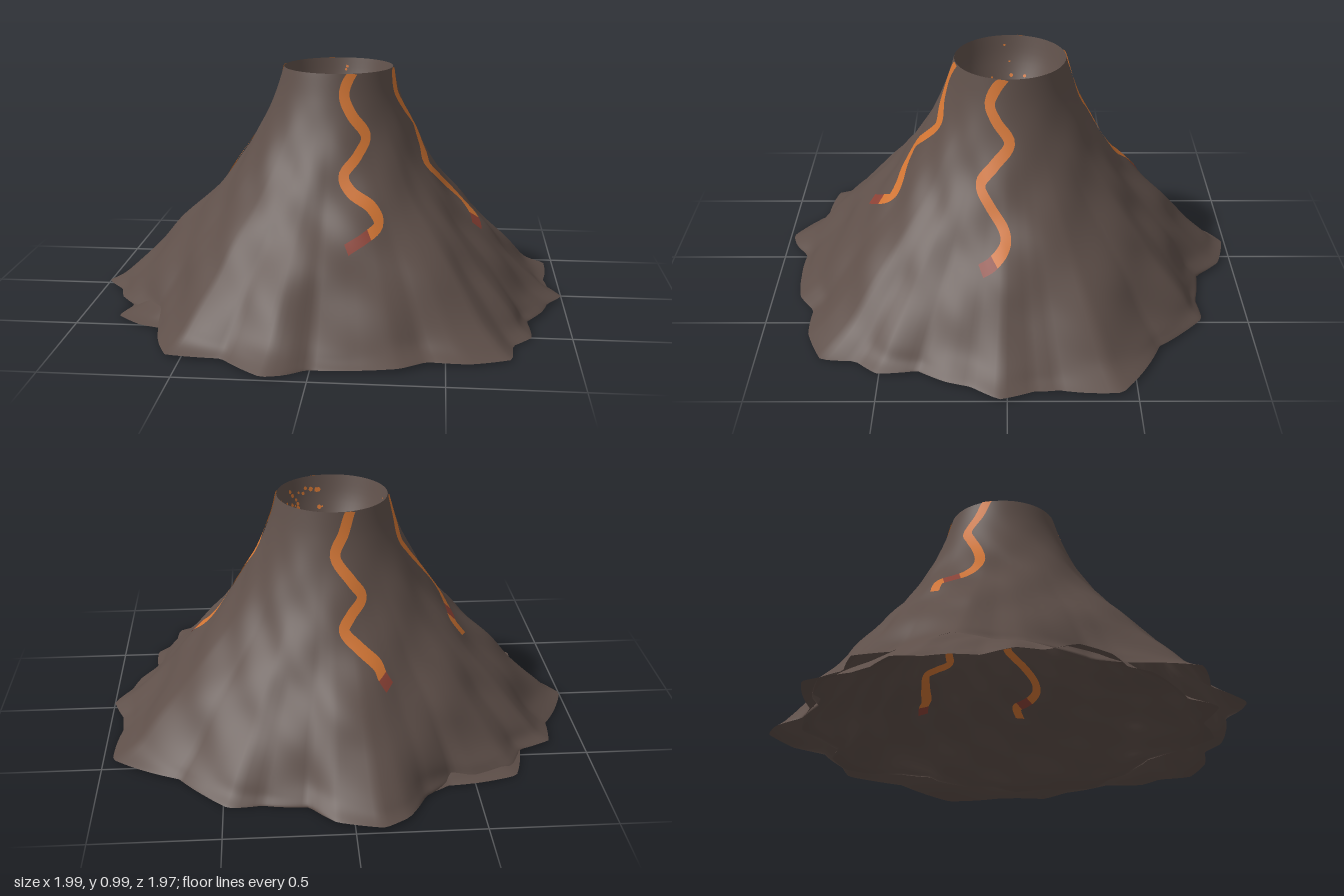
import * as THREE from 'three';

const V2 = (x, y) => new THREE.Vector2(x, y);

// foot of the mountain as x, z pairs
const foot = [
  1, .03, .95, -.1, .94, -.2, .96, -.44, .84, -.53, .68, -.61, .57, -.73, .48, -.81, .35, -.8,
  .17, -.83, .07, -.94, -.11, -.985, -.21, -.92, -.29, -.78, -.41, -.67, -.5, -.67, -.67, -.59,
  -.72, -.48, -.86, -.41, -.88, -.26, -.93, -.18, -1, -.01, -.91, .11, -.88, .21, -.8, .31,
  -.69, .43, -.65, .54, -.56, .82, -.34, .845, -.26, .92, -.17, .985, -.09, .96, -.01, .9,
  .17, .9, .33, .88, .43, .81, .59, .81, .75, .74, .76, .6, .84, .51, .83, .35, .9, .24, .93, .14,
];
const polar = [];
for (let i = 0; i < foot.length; i += 2) {
  polar.push([Math.atan2(foot[i + 1], foot[i]), Math.hypot(foot[i], foot[i + 1])]);
}
polar.sort((a, b) => a[0] - b[0]);
const TAU = Math.PI * 2;
polar.unshift([polar[polar.length - 1][0] - TAU, polar[polar.length - 1][1]]);
polar.push([polar[1][0] + TAU, polar[1][1]]);

function footRadius(angle) {
  const a = Math.atan2(Math.sin(angle), Math.cos(angle));
  let k = 1;
  while (k < polar.length - 1 && polar[k][0] < a) k++;
  const [a0, r0] = polar[k - 1], [a1, r1] = polar[k];
  return r0 + (r1 - r0) * (a - a0) / (a1 - a0);
}

// slope profile: radius and height, one tenth of height per step down to 0.1
const slope = new THREE.SplineCurve([
  [.23, 1], [.26, .9], [.3, .8], [.352, .7], [.413, .6], [.487, .5],
  [.575, .4], [.67, .3], [.76, .2], [.85, .1], [.91, .045], [.96, .014],
].map(([r, y]) => V2(r, y)));
const STEPS = 11;

// point on the mountainside: angle, and t from rim (0) to foot (1)
function surface(a, t) {
  const p = slope.getPoint(Math.min(1, Math.max(0, t)));
  const w = Math.pow(t, 2.5);
  const bumps = t * Math.sin(t * Math.PI) * (
    .014 * Math.sin(5 * a + 6 * t) + .01 * Math.sin(8 * a - 20 * t + 1)
    + .008 * Math.sin(12 * a + 30 * t + 2));
  const r = p.x * (1 + w * (footRadius(a) / .96 - 1)) + bumps;
  const y = p.y + .005 * w * Math.sin(7 * a);
  return new THREE.Vector3(.03 * (1 - t) + r * Math.cos(a), Math.max(0, y), -.014 * (1 - t) + r * Math.sin(a));
}

function surfaceNormal(a, t) {
  const e = .01, u = Math.max(e, t);
  const da = surface(a + e, u).sub(surface(a - e, u));
  const dt = surface(a, u + e).sub(surface(a, u - e));
  return da.cross(dt).normalize();
}

// grid of points (rows x columns) turned into a smooth surface
function gridGeometry(rows, closed) {
  const n = rows[0].length, index = [];
  for (let i = 0; i < rows.length - 1; i++) {
    for (let j = 0; j < (closed ? n : n - 1); j++) {
      const k = (j + 1) % n;
      const a = i * n + j, b = i * n + k, c = a + n, d = b + n;
      index.push(a, b, c, b, d, c);
    }
  }
  const g = new THREE.BufferGeometry().setFromPoints(rows.flat());
  g.setIndex(index);
  g.computeVertexNormals();
  return g;
}

// rows of a lava ribbon following the slope; points are sideways offset and height
function ribbon(direction, sign, points, from, to, lift) {
  const path = new THREE.SplineCurve(points.map(([u, y]) => V2(u * sign, y)));
  const rows = [], n = 50;
  for (let i = 0; i <= n; i++) {
    const s = from + (to - from) * i / n;
    const p = path.getPoint(s), d = path.getTangent(s);
    rows.push([-1, 0, 1].map((side) => {
      const u = p.x - d.y * side * .021, y = Math.min(.998, p.y + d.x * side * .021);
      const t = (1 - y) * 10 / STEPS;
      const a = direction + u / slope.getPoint(t).x;
      return surface(a, t).addScaledVector(surfaceNormal(a, t), lift);
    }));
  }
  return rows;
}

// the lower shell inside the hollow mountain, mirrored and turned
const UP = new THREE.Vector3(0, 1, 0);
const innerPoint = (p) => new THREE.Vector3(-.89 * p.x, .59 * p.y, .89 * p.z).applyAxisAngle(UP, -.34);
const innerRows = (rows) => rows.map((row) => row.map(innerPoint));

export function createModel() {
  const group = new THREE.Group();
  const material = (name, color) => {
    const m = new THREE.MeshStandardMaterial({ color, side: THREE.DoubleSide });
    m.name = name;
    return m;
  };
  const rock = material('rock', 0x5e4f49);
  const lava = material('lava', 0xd07433);
  const cooling = material('coolingLava', 0x8c4236);
  const add = (name, geometry, mat) => {
    const mesh = new THREE.Mesh(geometry, mat);
    mesh.name = name;
    group.add(mesh);
    return mesh;
  };

  // hollow mountainside and inner shell
  const rows = [], ROWS = 66, COLS = 240;
  for (let i = 0; i <= ROWS; i++) {
    rows.push(Array.from({ length: COLS }, (_, j) => surface(j / COLS * TAU, i / ROWS)));
  }
  add('mountainside', gridGeometry(rows, true), rock);
  add('innerShell', gridGeometry(innerRows(rows), true), rock);

  // crater bowl
  const bowl = new THREE.SplineCurve(
    [[0, .74], [.06, .74], [.105, .75], [.155, .82], [.202, .91], [.23, 1]].map(([r, y]) => V2(r, y)));
  const crater = add('crater', new THREE.LatheGeometry(bowl.getPoints(20), 64), rock);
  crater.position.set(.03, 0, -.014);

  // glowing flecks lying on the bowl, densest towards the front left
  let seed = 7;
  const random = () => (seed = (seed * 16807) % 2147483647) / 2147483647;
  for (let i = 0; i < 64; i++) {
    const s = .35 + .58 * random();
    const a = i % 2 ? random() * TAU : .1 + 1.4 * random();
    const p = bowl.getPoint(s), d = bowl.getTangent(s);
    const normal = new THREE.Vector3(-d.y * Math.cos(a), d.x, -d.y * Math.sin(a));
    const fleck = add('craterFleck', new THREE.CircleGeometry(.004 + .007 * random(), 6), lava);
    fleck.position.set(.03 + p.x * Math.cos(a), p.y, -.014 + p.x * Math.sin(a)).addScaledVector(normal, .004);
    fleck.quaternion.setFromUnitVectors(new THREE.Vector3(0, 0, 1), normal);
  }

  // winding streams: name, direction, sign of the offset, start and end of the cooled stretch, path
  const streams = [
    ['frontStream', Math.PI / 2, -1, .88, 1, [[.075, 1], [.045, .92], [.08, .84], [.145, .76], [.115, .69],
      [.065, .62], [.1, .56], [.18, .51], [.22, .45], [.17, .41], [.1, .37]]],
    ['leftStream', 0, 1, .89, 1, [[.025, 1], [.08, .91], [.055, .84], [0, .76], [.06, .68],
      [.115, .61], [.075, .54], [.02, .47], [.015, .42], [.06, .37], [.11, .34]]],
    ['backStream', -Math.PI / 2, 1, .9, 1, [[-.06, 1], [-.03, .92], [.01, .83], [-.05, .74], [-.09, .68],
      [-.04, .62], [-.01, .57], [-.07, .51], [-.13, .46], [-.15, .42], [-.18, .38]]],
    ['rightStream', Math.PI, -1, .74, .86, [[-.03, 1], [-.06, .92], [-.11, .83], [-.09, .77], [-.055, .7],
      [-.03, .62], [-.04, .56], [-.08, .52], [-.13, .5], [-.18, .48], [-.19, .42]]],
  ];
  for (const [name, direction, sign, coolFrom, coolTo, points] of streams) {
    for (const [from, to, mat] of [[0, coolFrom, lava], [coolFrom, coolTo, cooling], [coolTo, 1, lava]]) {
      if (from === to) continue;
      // outside of the mountain, and underside of the inner shell
      add(name, gridGeometry(ribbon(direction, sign, points, from, to, .004), false), mat);
      add(name + 'Inside', gridGeometry(innerRows(ribbon(direction, sign, points, from, to, -.006)), false), mat);
    }
  }
  return group;
}
